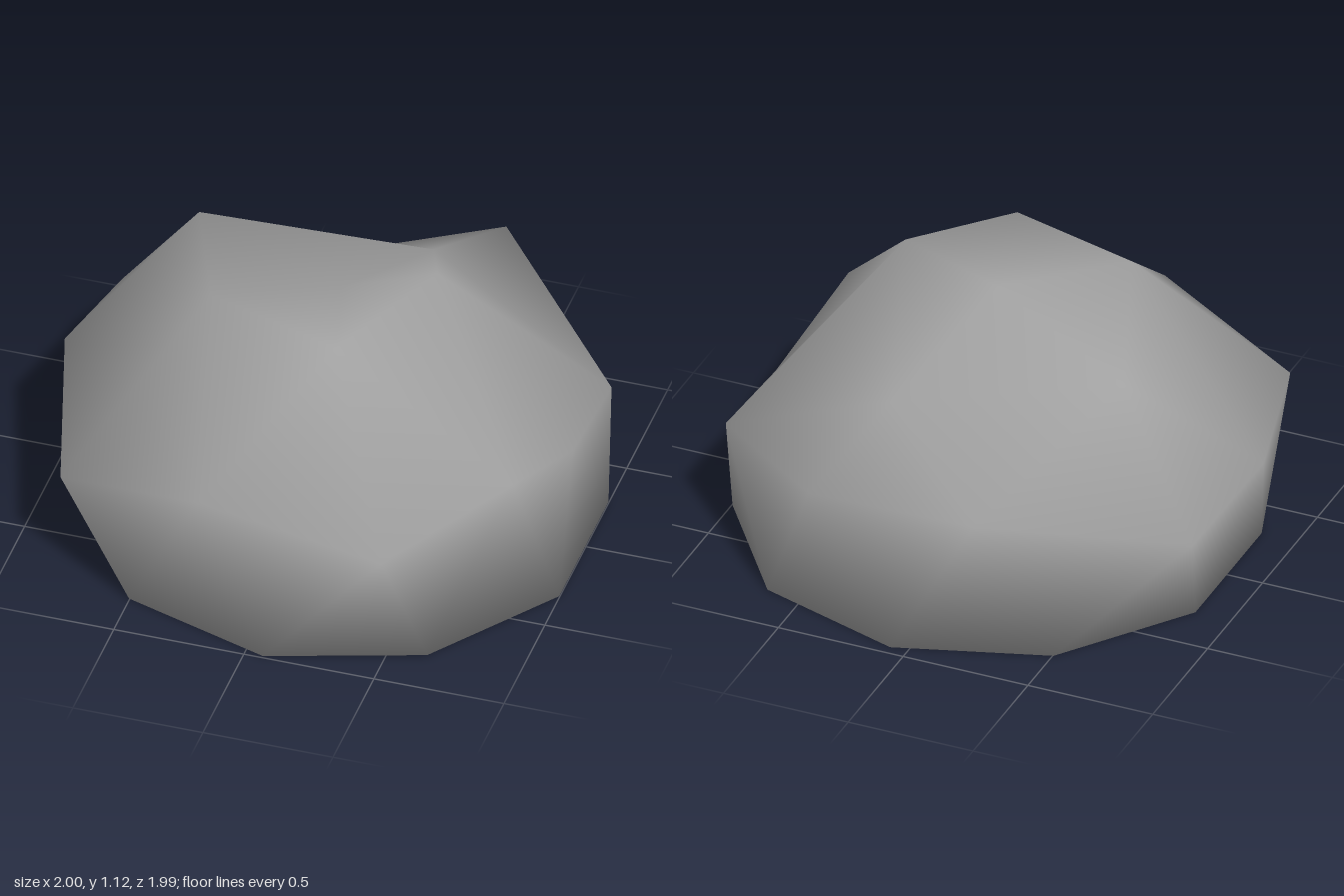
import * as THREE from 'three';

// A smooth-shaded boulder: rings of corners from the flat foot up to the crown.
export function createModel() {
  const group = new THREE.Group();
  group.name = 'rock';
  const stone = new THREE.MeshStandardMaterial({ color: 0xa0a0a0 });
  stone.name = 'grey stone';

  // Regular ten-sided foot on the ground
  const foot = [];
  for (let i = 0; i < 10; i++) {
    const a = THREE.MathUtils.degToRad(36 * i + 18);
    foot.push([0.07 + 0.975 * Math.cos(a), 0, 0.015 + 0.975 * Math.sin(a)]);
  }
  // Uneven waist, half a step round from the foot
  const waist = [
    [0.95, 0.43, 0.0], [0.87, 0.6, 0.48], [0.49, 0.44, 0.88], [-0.2, 0.6, 0.93], [-0.79, 0.44, 0.73],
    [-1.0, 0.51, 0.01], [-0.94, 0.43, -0.5], [-0.2, 0.5, -0.81], [0.38, 0.61, -1.0], [0.97, 0.43, -0.41],
  ];
  // Shoulder corners, one above every second waist corner
  const shoulder = [
    [0.43, 1.125, 0.0], [0.18, 1.05, 0.45], [-0.35, 1.06, 0.29], [-0.59, 0.94, -0.33], [0.24, 0.79, -0.56],
  ];
  const points = [...foot, ...waist, ...shoulder, [0.07, 1.0, 0.02], [0.07, 0, 0.015]];
  const f = (i) => (i + 10) % 10;
  const w = (i) => 10 + (i % 10);
  const s = (i) => 20 + (i % 5);
  const crown = 25, underside = 26;

  const index = [];
  for (let i = 0; i < 10; i++) {
    index.push(f(i - 1), w(i), f(i)); // lower wall
    index.push(w(i), w(i + 1), f(i));
    index.push(underside, f(i), f(i + 1)); // flat underside
  }
  for (let k = 0; k < 5; k++) {
    index.push(w(2 * k), s(k), w(2 * k + 1)); // upper slopes
    index.push(s(k), s(k + 1), w(2 * k + 1));
    index.push(w(2 * k + 1), s(k + 1), w(2 * k + 2));
    index.push(s(k), crown, s(k + 1)); // top
  }

  const geometry = new THREE.BufferGeometry();
  geometry.setAttribute('position', new THREE.Float32BufferAttribute(points.flat(), 3));
  geometry.setIndex(index);
  geometry.computeVertexNormals();

  const boulder = new THREE.Mesh(geometry, stone);
  boulder.name = 'boulder';
  group.add(boulder);
  return group;
}
